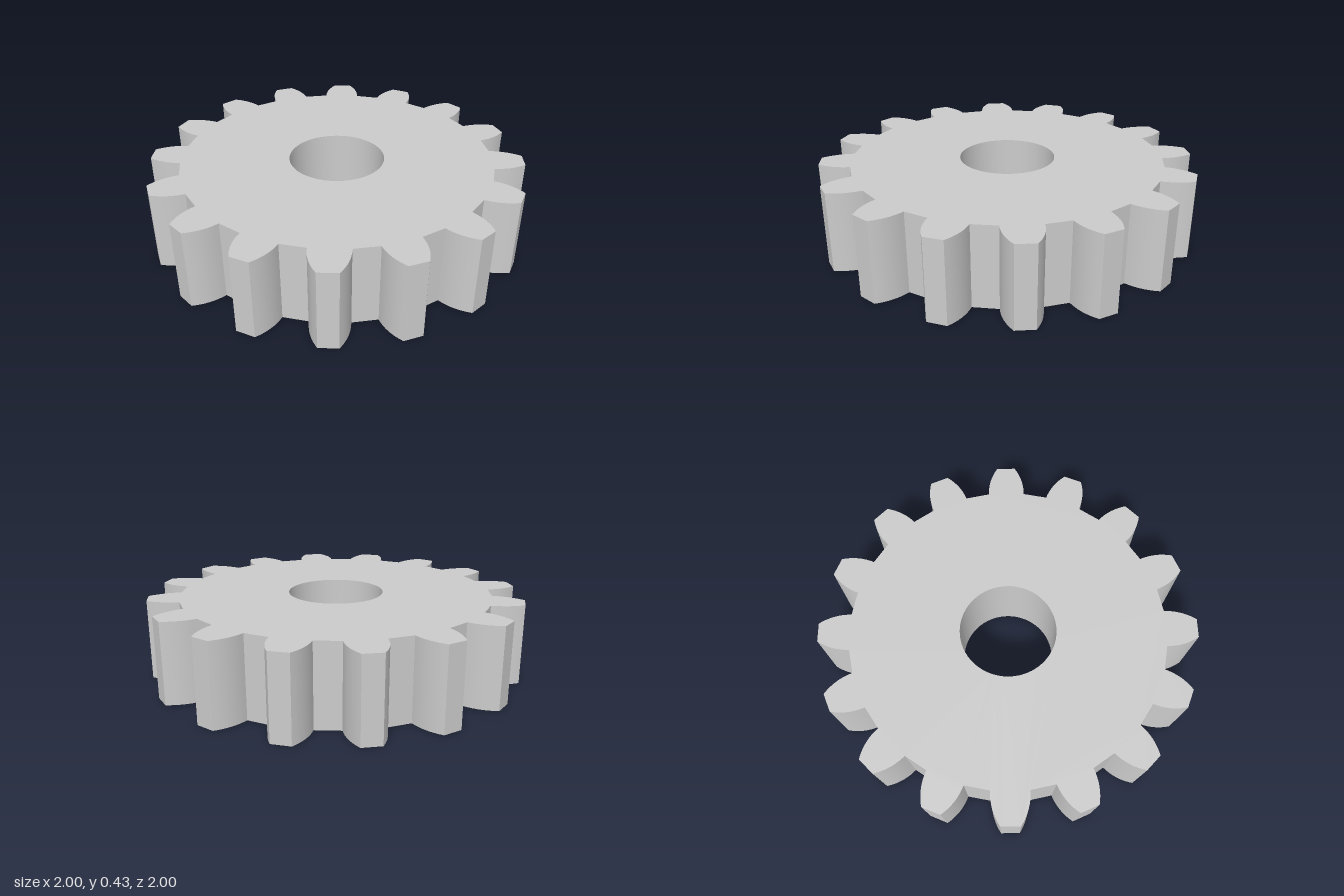
import * as THREE from 'three';
import { toCreasedNormals } from 'three/addons/utils/BufferGeometryUtils.js';

const TEETH = 16, HEIGHT = 0.425, BORE = 0.255;

// Right flank of one tooth pointing along +y, from root to tip
const flank = new THREE.QuadraticBezierCurve(
  new THREE.Vector2(0.099, 0.83),
  new THREE.Vector2(0.101, 0.923),
  new THREE.Vector2(0.05, 1)
).getPoints(8);

export function createModel() {
  const group = new THREE.Group();
  group.name = 'spurGear';

  // One tooth: right flank up, mirrored left flank down; straight tip and root lands
  const tooth = [
    ...flank,
    ...flank.map(p => new THREE.Vector2(-p.x, p.y)).reverse(),
  ];
  const center = new THREE.Vector2();
  const outline = [];
  for (let i = 0; i < TEETH; i++) {
    const angle = (i / TEETH) * Math.PI * 2;
    for (const p of tooth) outline.push(p.clone().rotateAround(center, angle));
  }

  // Toothed disc with a round shaft bore
  const shape = new THREE.Shape(outline);
  const bore = new THREE.Path();
  bore.absarc(0, 0, BORE, 0, Math.PI * 2, true);
  shape.holes.push(bore);

  const extruded = new THREE.ExtrudeGeometry(shape, {
    depth: HEIGHT, bevelEnabled: false, curveSegments: 32,
  });
  extruded.rotateX(-Math.PI / 2);

  const gear = new THREE.Mesh(
    toCreasedNormals(extruded, 0.5),
    new THREE.MeshStandardMaterial({ color: 0xcccccc })
  );
  gear.name = 'toothedWheel';
  group.add(gear);
  return group;
}
